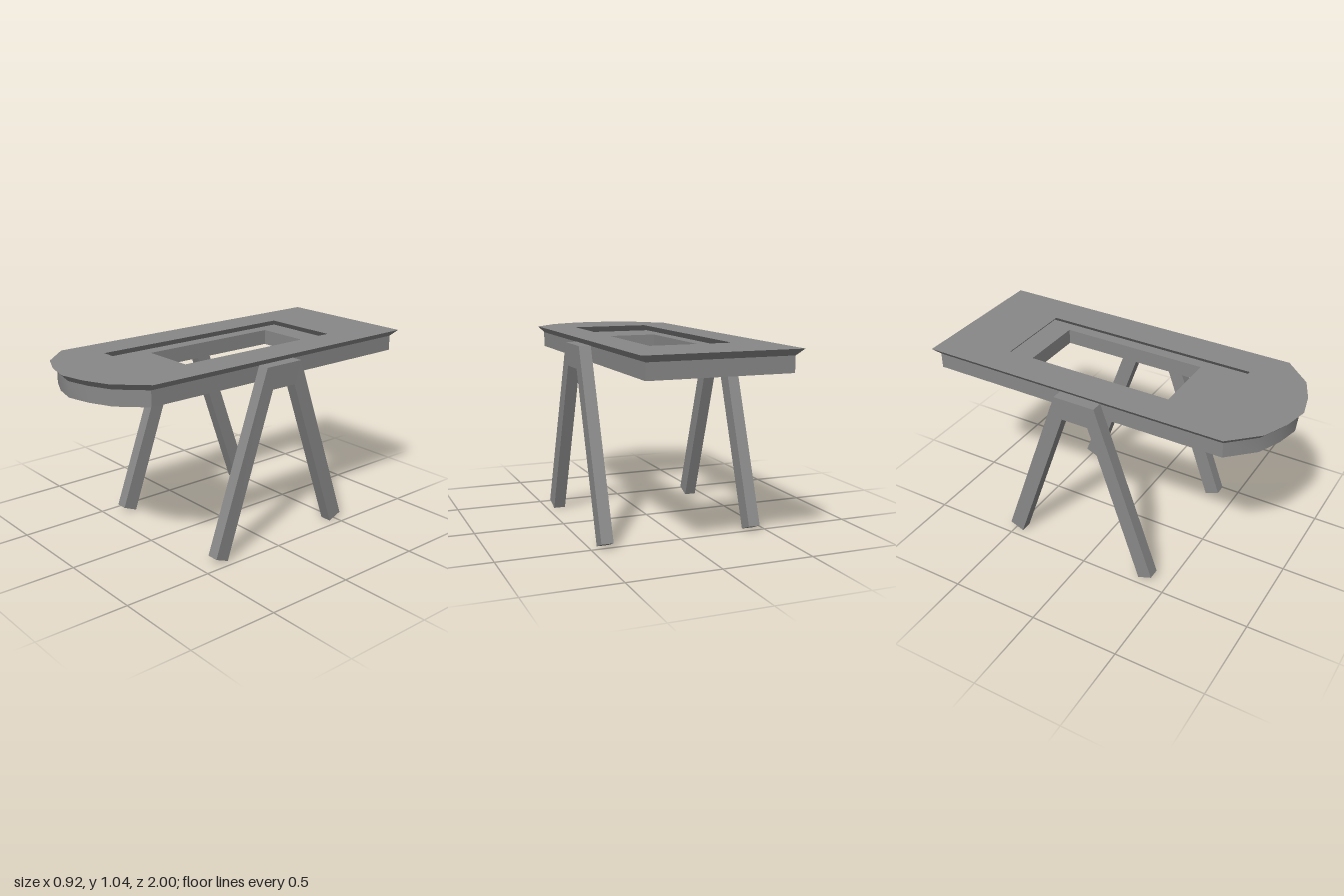
import * as THREE from 'three';
import { toCreasedNormals } from 'three/addons/utils/BufferGeometryUtils.js';

const material = new THREE.MeshStandardMaterial({ color: 0x888888 });
const BOTTOM = 0.925, SEAM = 1.01, TOP = 1.045;

// Right half of an outline as [x, z], back to front, mirrored into a counterclockwise loop.
// Plan points use -z as their y so that rotateX(-90 deg) lays them flat, facing up.
function outline(half) {
  const left = half.map(([x, z]) => new THREE.Vector2(-x, -z));
  const right = half.slice(0, -1).reverse().map(([x, z]) => new THREE.Vector2(x, -z));
  return [...left, ...right];
}

// Clockwise rectangle, used for openings.
function opening(x0, x1, z0, z1) {
  return [[x0, z1], [x0, z0], [x1, z0], [x1, z1]].map(([x, z]) => new THREE.Vector2(x, -z));
}

function plate(points, hole) {
  const shape = new THREE.Shape(points);
  shape.holes.push(new THREE.Path(hole));
  return shape;
}

// Sloping wall joining a lower loop to an upper loop.
function slopedWall(lower, upper) {
  const pos = [];
  const n = lower.length;
  for (let i = 0; i < n; i++) {
    const j = (i + 1) % n;
    const a = [lower[i].x, lower[i].y, SEAM], b = [lower[j].x, lower[j].y, SEAM];
    const c = [upper[j].x, upper[j].y, TOP], d = [upper[i].x, upper[i].y, TOP];
    pos.push(...a, ...b, ...c, ...a, ...c, ...d);
  }
  const geometry = new THREE.BufferGeometry();
  geometry.setAttribute('position', new THREE.Float32BufferAttribute(pos, 3));
  return geometry;
}

// Lays a plan geometry flat; the rounded end is smooth, the corners stay sharp.
function addFlat(group, name, geometry, y = 0) {
  geometry.rotateX(-Math.PI / 2).translate(0, y, 0);
  const mesh = new THREE.Mesh(toCreasedNormals(geometry, 0.5), material);
  mesh.name = name;
  group.add(mesh);
}

// A-shaped trestle; the front leg splays outward more than the back leg.
function trestle(side) {
  const profile = [
    [0.06, 1.012], [-0.18, 1.012], [-0.53, 0.033], [-0.45, 0],
    [-0.135, 0.887], [0.02, 0.887], [0.33, 0], [0.41, 0.033],
  ].map(([z, y]) => new THREE.Vector2(z, y));
  const geometry = new THREE.ExtrudeGeometry(new THREE.Shape(profile), { depth: 0.066, bevelEnabled: false });
  geometry.rotateY(-Math.PI / 2).translate(side > 0 ? 0.452 : -0.386, 0, 0);
  const p = geometry.attributes.position;
  for (let i = 0; i < p.count; i++) {
    const z = p.getZ(i);
    const splay = Math.max(0, z - 0.06) * 0.026 + Math.max(0, -0.18 - z) * 0.008;
    p.setX(i, p.getX(i) + side * splay);
  }
  geometry.computeVertexNormals();
  const mesh = new THREE.Mesh(geometry, material);
  mesh.name = side > 0 ? 'leftTrestle' : 'rightTrestle';
  return mesh;
}

export function createModel() {
  const group = new THREE.Group();
  group.name = 'table';

  const upper = outline([[0.419, -1], [0.419, 0.757], [0.277, 0.907], [0.14, 0.968], [0, 1]]);
  const lower = outline([[0.386, -0.966], [0.386, 0.745], [0.257, 0.879], [0.13, 0.936], [0, 0.966]]);
  const recessTop = opening(-0.225, 0.225, -0.61, 0.61);
  const recessBottom = opening(-0.258, 0.258, -0.643, 0.643);

  // Slab with an off-centre through opening; its top is the recess floor
  const slab = new THREE.ExtrudeGeometry(plate(lower, opening(-0.183, 0.195, -0.5, 0.34)),
    { depth: SEAM - BOTTOM, bevelEnabled: false });
  addFlat(group, 'slab', slab, BOTTOM);

  // Flared top with an undercut recess
  addFlat(group, 'topSurface', new THREE.ShapeGeometry(plate(upper, recessTop)), TOP);
  addFlat(group, 'flaredEdge', slopedWall(lower, upper));
  addFlat(group, 'recessEdge', slopedWall(recessBottom, recessTop));

  for (const side of [-1, 1]) group.add(trestle(side));
  return group;
}
